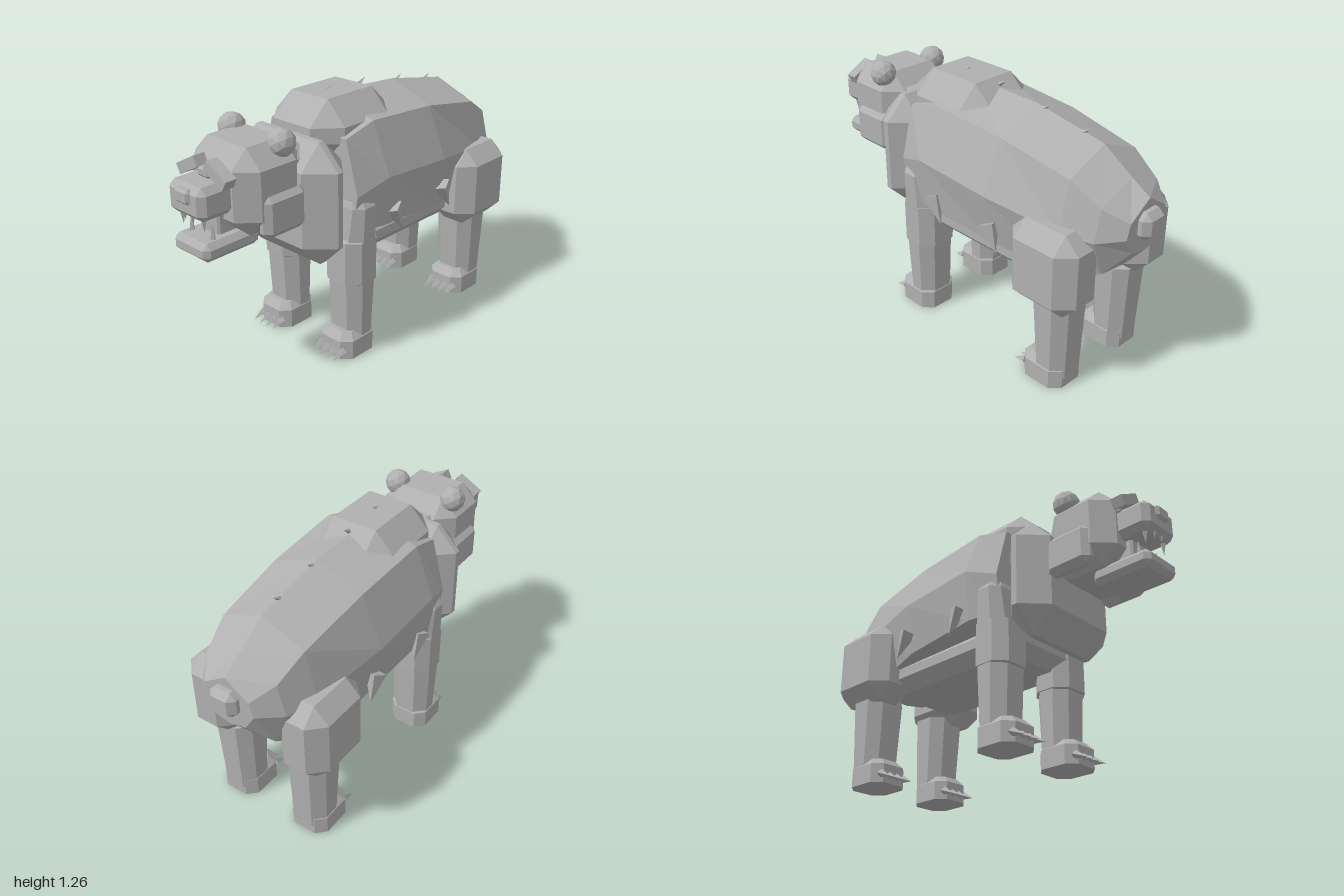
import * as THREE from 'three';
import { ConvexGeometry } from 'three/addons/geometries/ConvexGeometry.js';

const fur = new THREE.MeshStandardMaterial({ color: 0xb0b0b0, flatShading: true });
fur.name = 'grey fur';

export function createModel() {
  const model = new THREE.Group();
  model.name = 'bear';

  const add = (name, geometry, parent = model) => {
    const mesh = new THREE.Mesh(geometry, fur);
    mesh.name = name;
    parent.add(mesh);
    return mesh;
  };

  // Box between two corners with chamfered edges, chamfer c = [x, y, z] or a number
  const block = (name, min, max, c, parent) => {
    const [cx, cy, cz] = Array.isArray(c) ? c : [c, c, c];
    const mid = min.map((v, i) => (v + max[i]) / 2);
    const [w, h, d] = min.map((v, i) => Math.abs(max[i] - v) / 2);
    const pts = [];
    for (const x of [-1, 1]) for (const y of [-1, 1]) for (const z of [-1, 1]) {
      pts.push(
        new THREE.Vector3(x * w, y * (h - cy), z * (d - cz)),
        new THREE.Vector3(x * (w - cx), y * h, z * (d - cz)),
        new THREE.Vector3(x * (w - cx), y * (h - cy), z * d));
    }
    const mesh = add(name, new ConvexGeometry(pts), parent);
    mesh.position.set(...mid);
    return mesh;
  };

  // Upright eight-sided column from rings [y, x0, x1, z0, z1, corner cut]
  const column = (name, rings, side, parent) => {
    const pts = [];
    for (const [y, x0, x1, z0, z1, c] of rings) {
      for (const [x, dx] of [[x0, c], [x1, -c]]) for (const [z, dz] of [[z0, c], [z1, -c]]) {
        pts.push(new THREE.Vector3(side * (x + dx), y, z), new THREE.Vector3(side * x, y, z + dz));
      }
    }
    return add(name, new ConvexGeometry(pts), parent);
  };

  // Four-sided spike from base centre to tip
  const spike = (name, from, to, radius, parent) => {
    const a = new THREE.Vector3(...from), b = new THREE.Vector3(...to);
    const dir = b.clone().sub(a);
    const mesh = add(name, new THREE.ConeGeometry(radius, dir.length(), 4), parent);
    mesh.position.copy(a).add(b).multiplyScalar(0.5);
    mesh.quaternion.setFromUnitVectors(new THREE.Vector3(0, 1, 0), dir.normalize());
    return mesh;
  };

  // Body: [z, ridge y, upper x, y, side x, y, lower x, y, bottom y]
  const sections = [
    [0.27, 1.12, 0.24, 1.09, 0.31, 0.83, 0.28, 0.65, 0.6],
    [0.10, 1.21, 0.25, 1.14, 0.35, 0.89, 0.32, 0.64, 0.58],
    [-0.32, 1.2, 0.24, 1.11, 0.345, 0.86, 0.30, 0.61, 0.57],
    [-0.70, 1.13, 0.22, 1.04, 0.28, 0.81, 0.22, 0.56, 0.52],
    [-0.85, 1.03, 0.19, 0.95, 0.23, 0.8, 0.16, 0.62, 0.6],
    [-0.95, 0.97, 0.12, 0.89, 0.14, 0.82, 0.09, 0.74, 0.72],
  ];
  const positions = [], index = [], n = 8;
  for (const [z, top, ux, uy, mx, my, lx, ly, low] of sections) {
    positions.push(0, top, z, ux, uy, z, mx, my, z, lx, ly, z,
      0, low, z, -lx, ly, z, -mx, my, z, -ux, uy, z);
  }
  for (let i = 0; i < sections.length - 1; i++) {
    for (let j = 0; j < n; j++) {
      const a = i * n + j, b = i * n + (j + 1) % n;
      index.push(a, b, b + n, a, b + n, a + n);
    }
  }
  const last = (sections.length - 1) * n;
  for (let j = 1; j < n - 1; j++) {
    index.push(0, j + 1, j, last, last + j, last + j + 1);
  }
  const bodyGeometry = new THREE.BufferGeometry();
  bodyGeometry.setAttribute('position', new THREE.Float32BufferAttribute(positions, 3));
  bodyGeometry.setIndex(index);
  const flatBody = bodyGeometry.toNonIndexed();
  flatBody.computeVertexNormals();
  add('body', flatBody);

  block('shoulderHump', [-0.22, 0.95, -0.15], [0.22, 1.245, 0.37], [0.105, 0.11, 0.115]);
  block('chest', [-0.315, 0.51, 0.26], [0.315, 1.1, 0.51], [0.115, 0.115, 0.11]);
  block('belly', [-0.25, 0.47, -0.6], [0.25, 0.64, 0.3], 0.06);
  block('neck', [-0.15, 0.8, 0.36], [0.15, 1.08, 0.56], 0.05);
  block('tail', [-0.07, 0.79, -1.0], [0.07, 0.92, -0.9], 0.03);

  // Small tufts along the spine
  for (const [z, y] of [[0.13, 1.235], [-0.1, 1.225], [-0.37, 1.185], [-0.6, 1.145]]) {
    spike('backTuft', [0, y, z + 0.02], [0, y + 0.025, z - 0.02], 0.012);
  }

  // Head
  const head = new THREE.Group();
  head.name = 'head';
  model.add(head);
  block('skull', [-0.21, 0.755, 0.46], [0.21, 1.15, 0.83], 0.085, head);
  block('muzzle', [-0.115, 0.875, 0.78], [0.115, 1.025, 0.985], 0.03, head);
  block('nose', [-0.045, 0.945, 0.93], [0.045, 1.01, 1.0], 0.012, head);
  block('jaw', [-0.115, 0.69, 0.67], [0.115, 0.775, 0.975], 0.025, head);
  block('mouth', [-0.06, 0.75, 0.75], [0.06, 0.89, 0.86], 0.01, head);
  block('browCentre', [-0.038, 1.025, 0.8], [0.038, 1.07, 0.88], 0.01, head);
  for (const s of [1, -1]) {
    const ear = add('ear', new THREE.IcosahedronGeometry(0.065, 1), head);
    ear.position.set(s * 0.16, 1.14, 0.58);
    const brow = add('brow', new THREE.BoxGeometry(0.135, 0.05, 0.06), head);
    brow.position.set(s * 0.09, 1.06, 0.86);
    brow.rotation.z = -s * 0.49;
    block('eye', [s * 0.1 - 0.015, 1.005, 0.8], [s * 0.1 + 0.015, 1.035, 0.842], 0.005, head);
    block('cheek', [s * 0.195 - 0.04, 0.75, 0.5], [s * 0.195 + 0.04, 0.95, 0.74], 0.03, head);
    spike('upperFang', [s * 0.07, 0.885, 0.94], [s * 0.07, 0.815, 0.94], 0.016, head);
    spike('lowerFang', [s * 0.07, 0.765, 0.9], [s * 0.07, 0.85, 0.9], 0.016, head);
    spike('frontTooth', [s * 0.027, 0.885, 0.96], [s * 0.027, 0.855, 0.96], 0.01, head);
  }

  // Foot with four claws
  const foot = (s, z0, z1) => {
    column('foot', [
      [0, 0.108, 0.316, z0, z1, 0.045],
      [0.095, 0.108, 0.316, z0, z1, 0.045],
      [0.13, 0.14, 0.285, z0 + 0.035, z1 - 0.035, 0.03],
    ], s);
    for (let i = 0; i < 4; i++) {
      const x = s * (0.144 + i * 0.045);
      spike('claw', [x, 0.045, z1 - 0.015], [x, 0.018, z1 + 0.06], 0.022);
    }
  };

  for (const s of [1, -1]) {
    // Front leg
    column('shoulder', [
      [0.58, 0.12, 0.325, 0.11, 0.295, 0.05],
      [0.77, 0.14, 0.33, 0.13, 0.28, 0.04],
      [0.8, 0.16, 0.31, 0.15, 0.27, 0.03],
    ], s);
    column('frontUpperLeg', [
      [0.365, 0.14, 0.285, 0.14, 0.27, 0.03],
      [0.388, 0.1, 0.325, 0.1, 0.31, 0.055],
      [0.6, 0.1, 0.325, 0.1, 0.31, 0.055],
      [0.625, 0.14, 0.285, 0.14, 0.27, 0.03],
    ], s);
    column('frontLowerLeg', [
      [0.05, 0.112, 0.31, 0.125, 0.285, 0.05],
      [0.39, 0.104, 0.322, 0.11, 0.3, 0.055],
    ], s);
    foot(s, 0.12, 0.348);

    // Rear leg
    block('thigh', [s * 0.12, 0.43, -0.845], [s * 0.387, 0.84, -0.47], 0.075);
    column('rearLowerLeg', [
      [0.05, 0.112, 0.31, -0.76, -0.585, 0.05],
      [0.46, 0.1, 0.325, -0.775, -0.56, 0.055],
    ], s);
    foot(s, -0.755, -0.523);

    // Shaggy tufts on the flanks
    for (const z of [0.04, -0.33]) {
      spike('flankTuft', [s * 0.322, 0.72, z], [s * 0.335, 0.59, z - 0.06], 0.05);
    }
  }

  return model;
}
